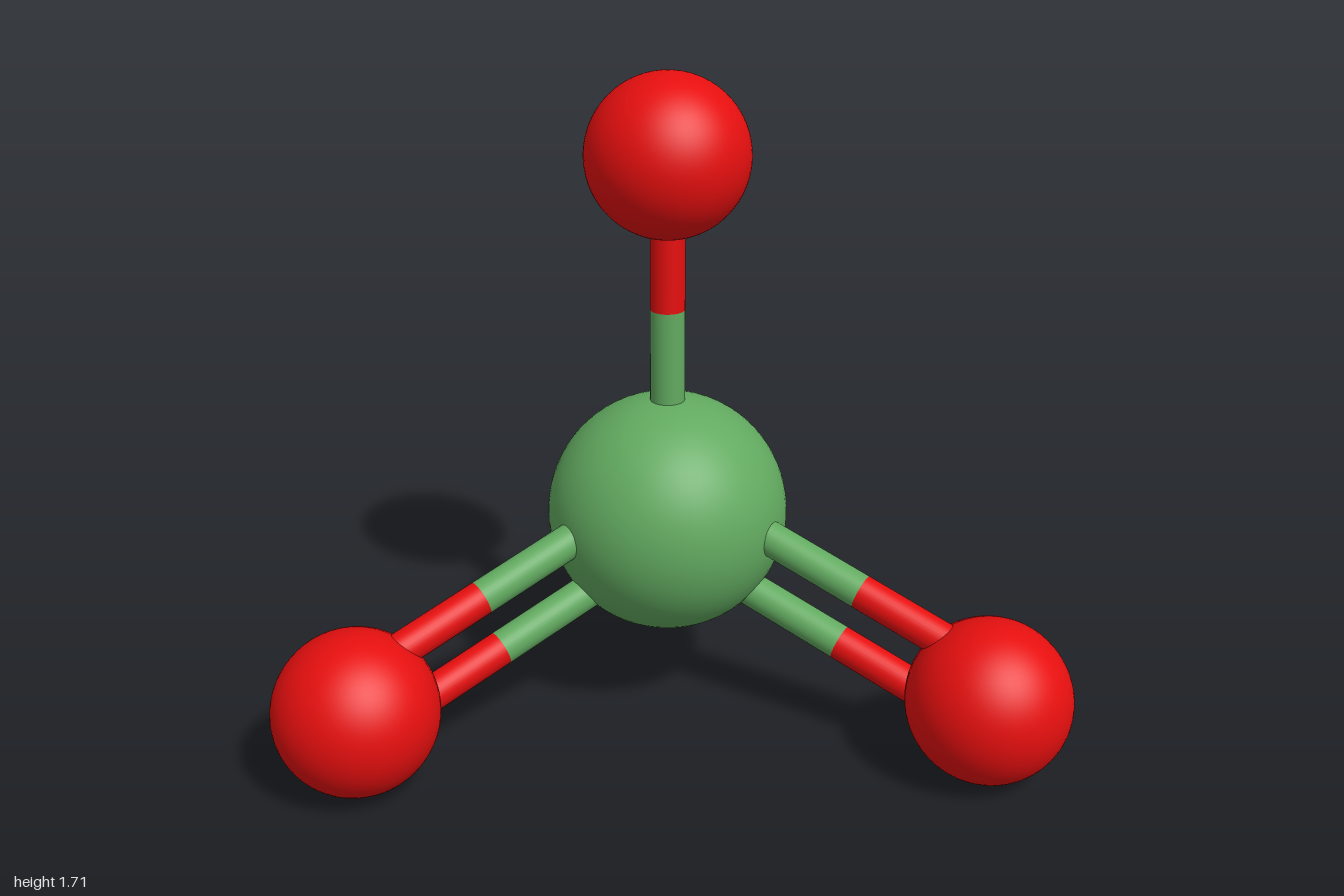
import * as THREE from 'three';

export function createModel() {
  const model = new THREE.Group();
  model.name = 'ballAndStickMolecule';

  const green = new THREE.MeshStandardMaterial({ color: 0x62aa60 });
  green.name = 'green';
  const red = new THREE.MeshStandardMaterial({ color: 0xe60f0f });
  red.name = 'red';

  const CENTRE = new THREE.Vector3(0, 0.54, 0.225);
  const BOND_RADIUS = 0.045;
  const SPLIT = 0.582; // where a bond changes colour

  function ball(name, position, radius, material) {
    const mesh = new THREE.Mesh(new THREE.SphereGeometry(radius, 64, 40), material);
    mesh.name = name;
    mesh.position.copy(position);
    model.add(mesh);
  }

  function stick(name, from, to, material) {
    const axis = to.clone().sub(from);
    const geometry = new THREE.CylinderGeometry(BOND_RADIUS, BOND_RADIUS, axis.length(), 32);
    const mesh = new THREE.Mesh(geometry, material);
    mesh.name = name;
    mesh.position.copy(from).add(to).multiplyScalar(0.5);
    mesh.quaternion.setFromUnitVectors(new THREE.Vector3(0, 1, 0), axis.normalize());
    model.add(mesh);
  }

  // A bond is green near the central ball and red near the outer one
  function bond(name, end, offset) {
    const a = CENTRE.clone().add(offset);
    const b = end.clone().add(offset);
    const middle = a.clone().lerp(b, SPLIT);
    stick(name + 'Inner', a, middle, green);
    stick(name + 'Outer', middle, b, red);
  }

  ball('centralBall', CENTRE, 0.315, green);

  // Single bond on top
  const top = new THREE.Vector3(0, 1.5, 0.225);
  ball('topBall', top, 0.21, red);
  bond('topBond', top, new THREE.Vector3());

  // Three legs with double bonds; the front pair is twisted slightly
  const legs = [
    ['back', 0, -0.685, 0],
    ['left', 0.788, 0.68, 1],
    ['right', -0.788, 0.68, -1],
  ];
  for (const [name, x, z, twist] of legs) {
    const end = new THREE.Vector3(x, 0.212, z);
    ball(name + 'Ball', end, 0.21, red);
    const along = end.clone().sub(CENTRE).normalize();
    const up = new THREE.Vector3(0, 1, 0).addScaledVector(along, -along.y).normalize();
    up.applyAxisAngle(along, twist * 0.12).multiplyScalar(0.092);
    bond(name + 'UpperBond', end, up);
    bond(name + 'LowerBond', end, up.clone().negate());
  }

  return model;
}
